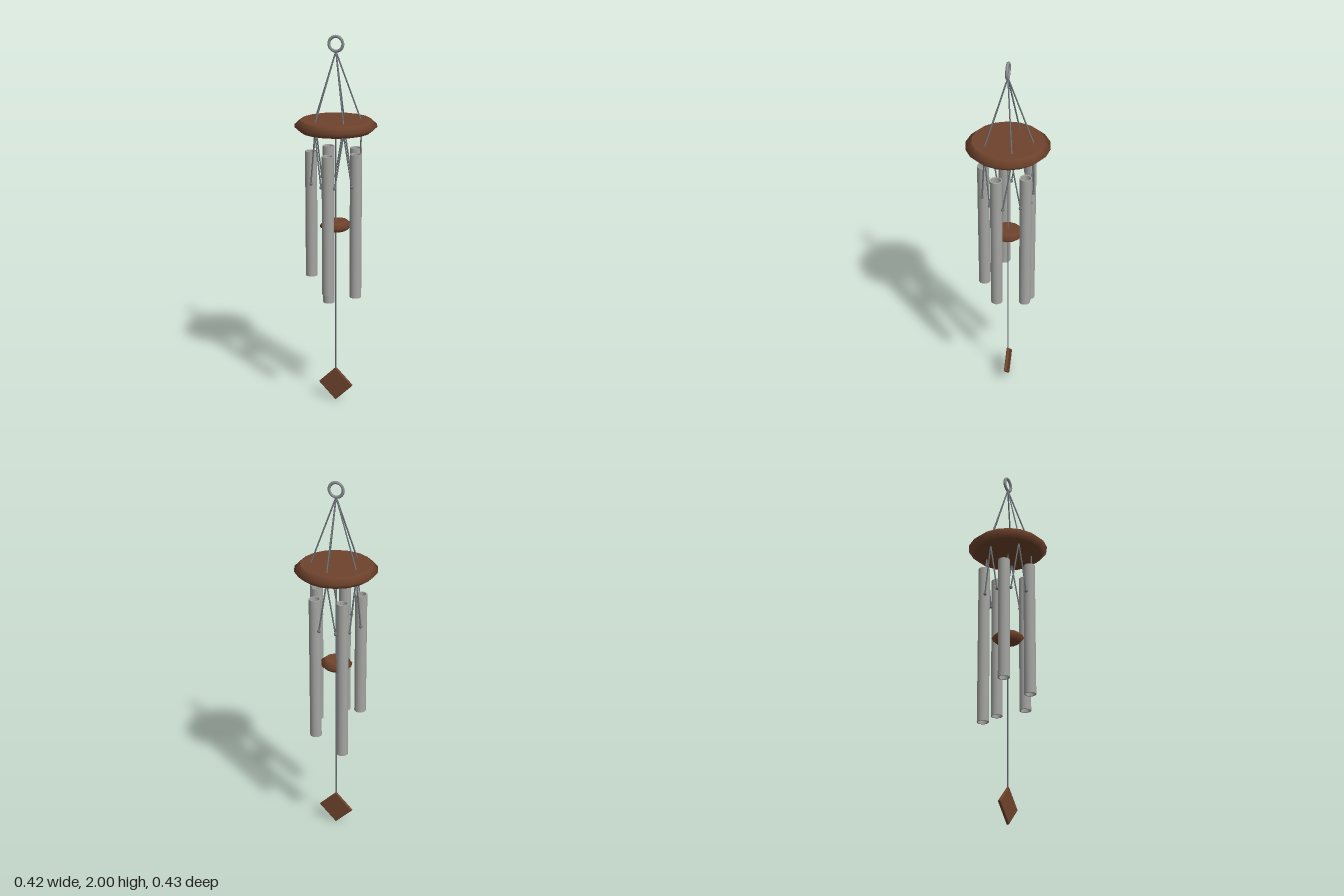
import * as THREE from 'three';

export function createModel() {
  const model = new THREE.Group();
  model.name = 'windChime';

  const paint = (name, color) => {
    const m = new THREE.MeshStandardMaterial({ color });
    m.name = name;
    return m;
  };
  const wood = paint('wood', 0x6f432c);
  const steel = paint('brushedMetal', 0xa5a5a2);
  const ringMetal = paint('ringMetal', 0x8c9292);
  const cordGrey = paint('cord', 0x70777b);

  const add = (parent, name, geometry, material) => {
    const mesh = new THREE.Mesh(geometry, material);
    mesh.name = name;
    parent.add(mesh);
    return mesh;
  };
  const polar = (angle, r, y) => new THREE.Vector3(Math.sin(angle) * r, y, Math.cos(angle) * r);

  // Straight cord between two points
  const cord = (parent, name, a, b, r = 0.004) => {
    const dir = b.clone().sub(a);
    const mesh = add(parent, name, new THREE.CylinderGeometry(r, r, dir.length(), 6), cordGrey);
    mesh.position.copy(a).add(b).multiplyScalar(0.5);
    mesh.quaternion.setFromUnitVectors(new THREE.Vector3(0, 1, 0), dir.normalize());
    return mesh;
  };

  // Wooden disc with a pointed, softly shaded rim and flat faces
  const woodDisc = (name, rOuter, rFace, height, sides) => {
    const g = new THREE.Group();
    g.name = name;
    const h = height / 2;
    const profile = [[rFace, -h], [rOuter, 0], [rFace, h]].map(p => new THREE.Vector2(...p));
    add(g, name + 'Rim', new THREE.LatheGeometry(profile, sides), wood);
    for (const s of [1, -1]) {
      const face = new THREE.CircleGeometry(rFace, sides).rotateX(-s * Math.PI / 2).rotateY(Math.PI / 2);
      add(g, name + (s > 0 ? 'Top' : 'Bottom'), face.translate(0, s * h, 0), wood);
    }
    model.add(g);
    return g;
  };

  // Hanging ring
  add(model, 'hangingRing', new THREE.TorusGeometry(0.037, 0.008, 6, 24), ringMetal).position.y = 1.955;

  // Top plate and striker
  woodDisc('topPlate', 0.2145, 0.182, 0.06, 18).position.y = 1.54;
  const striker = woodDisc('striker', 0.086, 0.06, 0.05, 12);
  striker.position.y = 1.007;
  striker.rotation.z = 0.05;

  // Chimes, anticlockwise from the front, each hung between two plate holes
  const bottoms = [0.667, 0.635, 0.614, 0.53, 0.73];
  const chimeTop = 1.406, chimeR = 0.031, boreR = 0.025, knotY = 1.24;
  const apex = new THREE.Vector3(0, 1.918, 0);
  const step = Math.PI * 2 / 5;

  bottoms.forEach((bottom, i) => {
    const angle = i * step;
    const centre = polar(angle, 0.128, 0);
    const chime = new THREE.Group();
    chime.name = 'chime' + (i + 1);
    model.add(chime);

    // Hollow tube
    const length = chimeTop - bottom;
    const mid = (chimeTop + bottom) / 2;
    const outer = new THREE.CylinderGeometry(chimeR, chimeR, length, 20, 1, true);
    add(chime, 'tubeOutside', outer, steel).position.set(centre.x, mid, centre.z);
    const bore = new THREE.CylinderGeometry(boreR, boreR, length, 20, 1, true);
    bore.index.array.reverse();
    bore.attributes.normal.array.forEach((v, k, a) => { a[k] = -v; });
    add(chime, 'tubeInside', bore, steel).position.set(centre.x, mid, centre.z);
    for (const s of [1, -1]) {
      const lip = new THREE.RingGeometry(boreR, chimeR, 20).rotateX(-s * Math.PI / 2).rotateY(Math.PI / 2);
      add(chime, 'tubeLip', lip, steel).position.set(centre.x, s > 0 ? chimeTop : bottom, centre.z);
    }

    // Suspension cords with a knot on each side of the tube
    const tangent = polar(angle + Math.PI / 2, 0.037, 0);
    const knots = [1, -1].map(s => {
      const knot = centre.clone().addScaledVector(tangent, s).setY(knotY);
      cord(chime, 'suspensionCord', polar(angle + s * step / 2, 0.13, 1.515), knot);
      add(chime, 'knot', new THREE.SphereGeometry(0.009, 8, 6), cordGrey).position.copy(knot);
      return knot;
    });
    cord(chime, 'crossCord', knots[0], knots[1]);

    // Hanging cord from the ring to the plate
    cord(model, 'hangingCord', apex, polar(angle + step / 2, 0.131, 1.56));
  });

  // Centre cord through the striker down to the sail
  cord(model, 'centreCord', new THREE.Vector3(0, 1.515, 0), new THREE.Vector3(0, 0.18, 0), 0.0035);

  // Diamond sail with a fine bevelled edge
  const d = 0.09;
  const diamond = new THREE.Shape([[0, -d], [d, 0], [0, d], [-d, 0]].map(p => new THREE.Vector2(...p)));
  const sail = new THREE.ExtrudeGeometry(diamond, {
    depth: 0.01, bevelEnabled: true, bevelThickness: 0.003, bevelSize: 0.004, bevelSegments: 1,
  });
  add(model, 'sail', sail.translate(0, 0, -0.005), wood).position.y = 0.1;

  return model;
}
